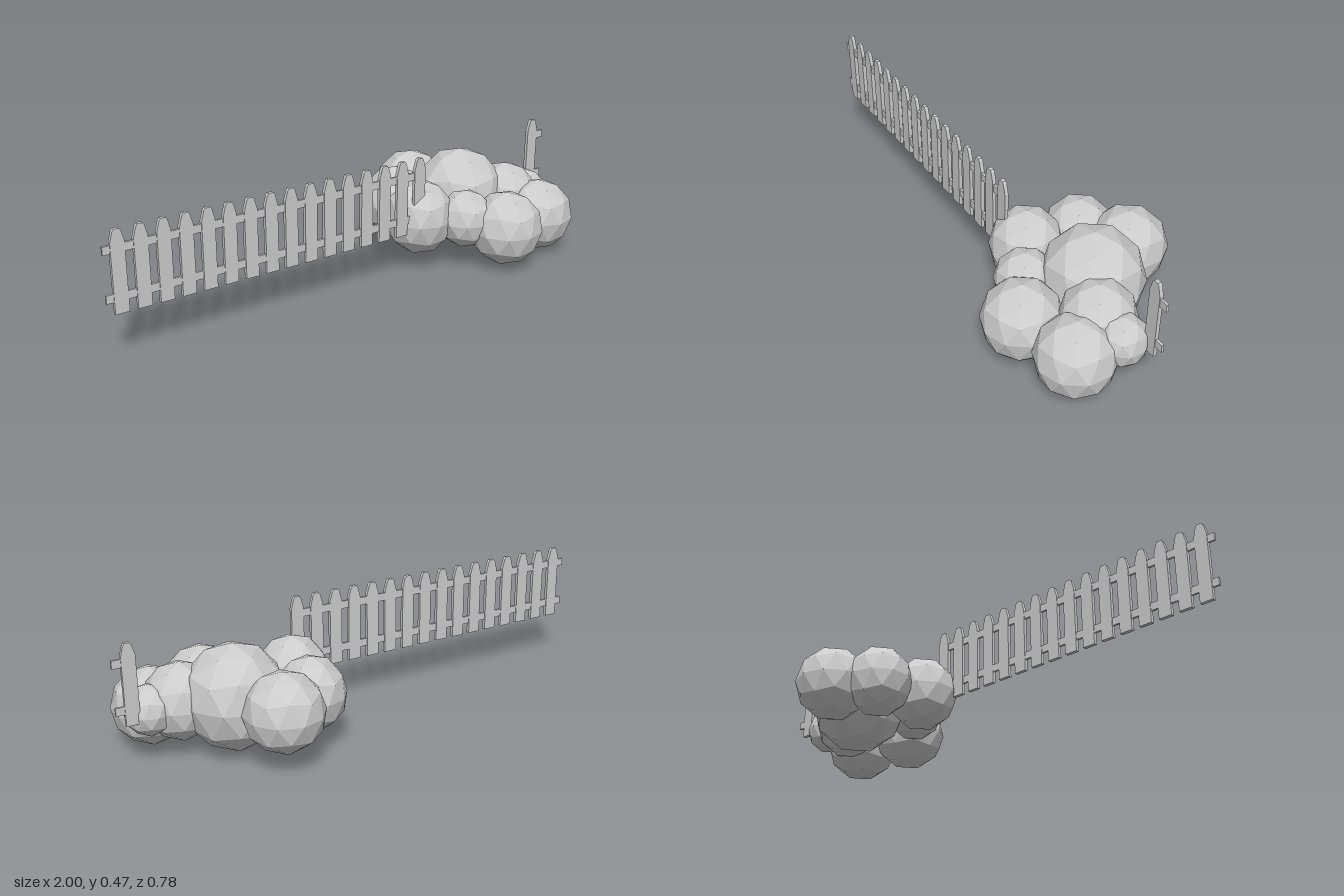
import * as THREE from 'three';

const grey = new THREE.MeshStandardMaterial({ color: 0xcccccc, flatShading: true });

// Picket: flat board with a tapered, blunt top
const BOTTOM = 0.177, TOP = 0.47, HALF = 0.025, THICK = 0.014;
const picketShape = new THREE.Shape([
  [-HALF, BOTTOM], [HALF, BOTTOM], [HALF, 0.425], [0.015, 0.462], [0.009, TOP],
  [-0.009, TOP], [-0.015, 0.462], [-HALF, 0.425],
].map(([x, y]) => new THREE.Vector2(x, y)));
const picketGeometry = new THREE.ExtrudeGeometry(picketShape, { depth: THICK, bevelEnabled: false });
picketGeometry.translate(0, 0, -THICK / 2);

// One run of fence: evenly spaced pickets joined by two rails
function fenceRun(name, firstX, count, step, railStart, railEnd, z) {
  const run = new THREE.Group();
  run.name = name;
  run.position.z = z;
  for (let i = 0; i < count; i++) {
    const picket = new THREE.Mesh(picketGeometry, grey);
    picket.name = 'picket';
    picket.position.x = firstX + i * step;
    run.add(picket);
  }
  for (const y of [0.403, 0.235]) {
    const rail = new THREE.Mesh(new THREE.BoxGeometry(railEnd - railStart, 0.029, 0.009), grey);
    rail.name = 'rail';
    rail.position.set((railStart + railEnd) / 2, y, 0);
    run.add(rail);
  }
  return run;
}

// Leaf ball: faceted icosphere turned so that one corner points straight up
const ballGeometry = new THREE.IcosahedronGeometry(1, 1);
ballGeometry.rotateZ(Math.atan(2 / (1 + Math.sqrt(5))));
ballGeometry.computeVertexNormals();

// x, y, z, horizontal radius, vertical radius
const balls = [
  [0.585, 0.21, -0.035, 0.186, 0.196],
  [0.5, 0.21, -0.245, 0.145, 0.145],
  [0.345, 0.205, -0.145, 0.13, 0.14],
  [0.313, 0.205, 0.055, 0.136, 0.147],
  [0.46, 0.197, 0.155, 0.11, 0.113],
  [0.587, 0.16, 0.247, 0.143, 0.145],
  [0.81, 0.147, 0.183, 0.143, 0.144],
  [0.747, 0.197, 0.055, 0.135, 0.143],
  [0.865, 0.193, 0.045, 0.09, 0.093],
];

export function createModel() {
  const model = new THREE.Group();
  model.name = 'fenceAndBush';

  model.add(fenceRun('longFence', -0.949, 16, 0.0803, -1, 0.275, 0.119));
  model.add(fenceRun('endFence', 0.943, 1, 0, 0.925, 1, -0.008));

  const bush = new THREE.Group();
  bush.name = 'bush';
  for (const [x, y, z, r, h] of balls) {
    const ball = new THREE.Mesh(ballGeometry, grey);
    ball.name = 'leafBall';
    ball.position.set(x, y, z);
    ball.scale.set(r, h, r);
    bush.add(ball);
  }
  model.add(bush);
  return model;
}
